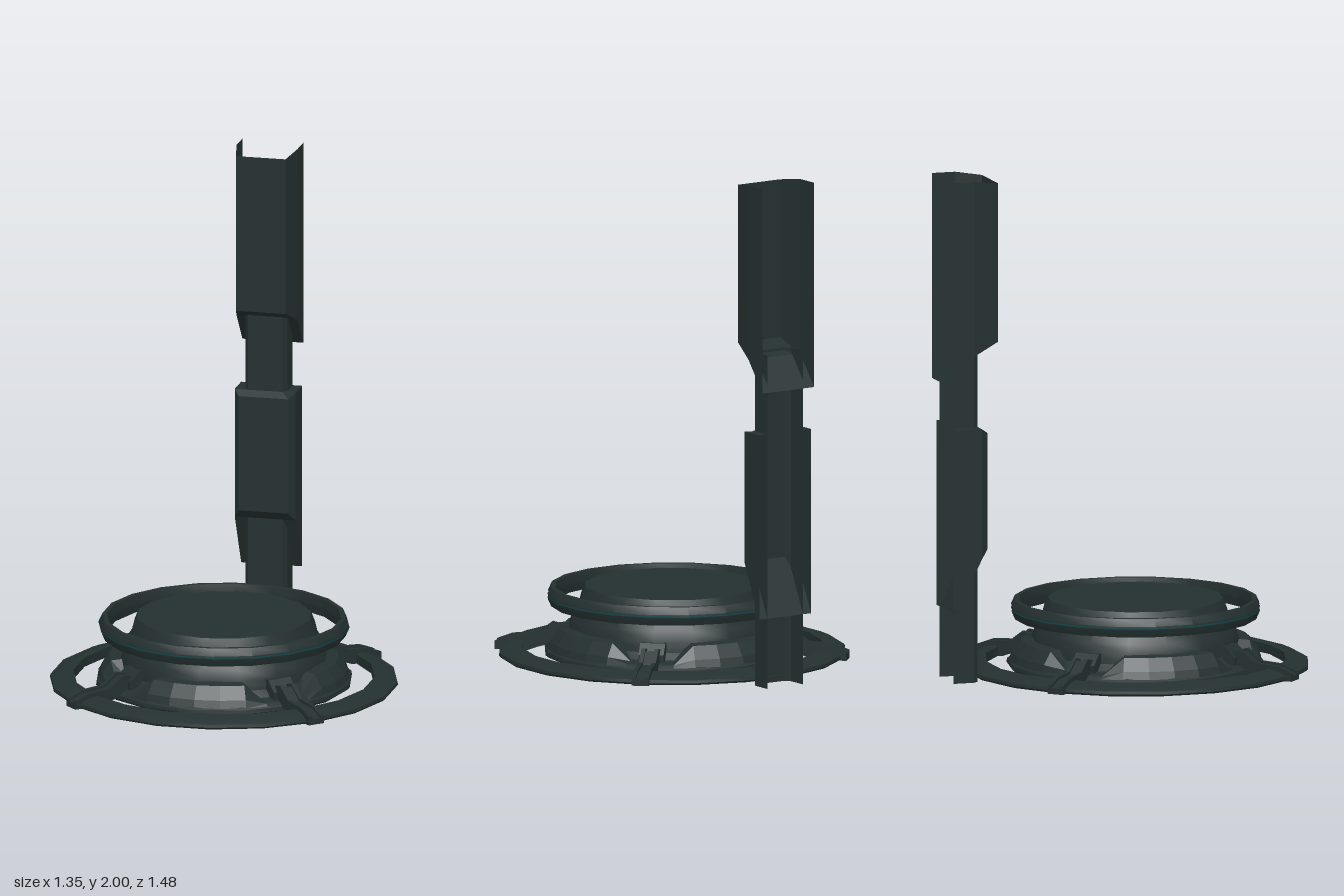
import * as THREE from 'three';
import { toCreasedNormals } from 'three/addons/utils/BufferGeometryUtils.js';

const darkMetal = new THREE.MeshStandardMaterial({ color: 0x243030, side: THREE.DoubleSide });
darkMetal.name = 'dark metal';
const tealGlow = new THREE.MeshStandardMaterial({ color: 0x12474c, side: THREE.DoubleSide });
tealGlow.name = 'teal strip';

function add(parent, name, geometry, material = darkMetal) {
  const mesh = new THREE.Mesh(geometry, material);
  mesh.name = name;
  parent.add(mesh);
  return mesh;
}

// Faceted skin across rows of [x, y, z] points
function loft(rows) {
  const n = rows[0].length, index = [];
  for (let r = 0; r < rows.length - 1; r++) {
    for (let i = 0; i < n - 1; i++) {
      const a = r * n + i, b = a + 1, c = a + n, d = c + 1;
      index.push(a, b, d, a, d, c);
    }
  }
  const g = new THREE.BufferGeometry();
  g.setAttribute('position', new THREE.Float32BufferAttribute(rows.flat(2), 3));
  g.setIndex(index);
  const flat = g.toNonIndexed();
  flat.computeVertexNormals();
  return flat;
}

function lathe(points, sides, start = 0) {
  const profile = points.map(([r, y]) => new THREE.Vector2(r, y));
  return toCreasedNormals(new THREE.LatheGeometry(profile, sides, start), 0.45);
}

// Straight-line interpolation of y along z through [z, y] points, z falling
function heightAt(points, z) {
  for (let i = 0; i < points.length - 1; i++) {
    const [z0, y0] = points[i], [z1, y1] = points[i + 1];
    if (z >= z1 || i === points.length - 2) return y0 + (y1 - y0) * (z - z0) / (z1 - z0);
  }
}

// Half section [x, z] from back to front, mirrored into a U open at the back
const fullSection = half => [
  ...half.map(([x, z]) => [-x, z]),
  ...half.slice().reverse(),
];
const rowAt = (section, line) => section.map(([x, z]) => [x, heightAt(line, z), z]);

function channel(parent, name, half, top, bottom, capped) {
  const section = fullSection(half);
  add(parent, name, loft([rowAt(section, bottom), rowAt(section, top)]));
  if (!capped) return;
  // Sloping floor closing the lower end
  const floor = half.map(([x, z]) => {
    const y = heightAt(bottom, z);
    return [[x, y, z], [-x, y, z]];
  });
  add(parent, name + 'Floor', loft(floor));
}

function buildMast() {
  const mast = new THREE.Group();
  mast.name = 'mast';
  const postHalf = [[0.085, -0.72], [0.085, -0.635], [0.07, -0.615]];
  const sleeveHalf = [[0.123, -0.72], [0.123, -0.615], [0.1, -0.585]];
  const headHalf = [[0.123, -0.74], [0.123, -0.645], [0.1, -0.54]];

  channel(mast, 'post', postHalf, [[-0.6, 1.33], [-0.74, 1.33]], [[-0.6, 0], [-0.74, 0]], false);

  const sleeveTop = [[-0.585, 0.995], [-0.615, 1.015], [-0.72, 1.015]];
  channel(mast, 'lowerSleeve', sleeveHalf, sleeveTop,
    [[-0.585, 0.53], [-0.615, 0.495], [-0.72, 0.28]], true);
  // Lip between sleeve and post
  const lipInner = fullSection(postHalf).map(([x, z]) => [x, 1.015, z]);
  add(mast, 'sleeveLip', loft([rowAt(fullSection(sleeveHalf), sleeveTop), lipInner]));

  channel(mast, 'upperChannel', headHalf, [[-0.54, 1.985], [-0.645, 2], [-0.74, 2]],
    [[-0.54, 1.355], [-0.645, 1.305], [-0.74, 1.185]], true);
  return mast;
}

// Bar drawn as [radius, y] and given a width, pointing along +z
function bar(points, width) {
  const shape = new THREE.Shape(points.map(([r, y]) => new THREE.Vector2(r, y)));
  const g = new THREE.ExtrudeGeometry(shape, { depth: width, bevelEnabled: false });
  g.translate(0, 0, -width / 2);
  g.rotateY(-Math.PI / 2);
  return g;
}

function buildSpoke() {
  const spoke = new THREE.Group();
  spoke.name = 'spoke';
  const rail = lift => [
    [0.44, 0.05], [0.44, 0.1 + lift], [0.48, 0.11 + lift], [0.54, 0.065 + lift],
    [0.64, 0.058 + lift], [0.7, 0.035 + lift], [0.7, 0.012], [0.57, 0.012], [0.52, 0.03],
  ];
  add(spoke, 'spokeBed', bar(rail(0), 0.045));
  for (const side of [-1, 1]) {
    add(spoke, 'spokeRail', bar(rail(0.01), 0.016)).position.x = side * 0.026;
  }
  const foot = [[0.38, 0.06], [0.38, 0.13], [0.42, 0.13], [0.46, 0.09], [0.46, 0.05]];
  add(spoke, 'spokeFoot', bar(foot, 0.1));
  return spoke;
}

// Raised skirt plate that slopes down at both ends
function panelGeometry() {
  const rows = [];
  for (const deg of [-34, -24, -12, 0, 12, 24, 34]) {
    const a = deg * Math.PI / 180, f = Math.abs(deg) > 30 ? 0 : 1;
    const profile = [[0.495, 0.045], [0.485, 0.055 + 0.02 * f], [0.45, 0.06 + 0.065 * f], [0.39, 0.06 + 0.07 * f]];
    rows.push(profile.map(([r, y]) => [r * Math.sin(a), y, r * Math.cos(a)]));
  }
  return loft(rows);
}

function buildBase() {
  const base = new THREE.Group();
  base.name = 'base';
  base.position.z = 0.06;
  const half = Math.PI / 20, k = 1 / Math.cos(half);

  // Hollow drum with a flat top
  add(base, 'drum', lathe([
    [0.495, 0.015], [0.507, 0.025], [0.505, 0.04], [0.485, 0.055], [0.44, 0.065], [0.412, 0.09],
    [0.408, 0.13], [0.395, 0.17], [0.37, 0.21], [0.36, 0.25], [0.345, 0.288],
  ], 16));
  const top = new THREE.CircleGeometry(0.345, 16);
  top.rotateX(-Math.PI / 2);
  add(base, 'topPlate', top).position.y = 0.288;

  // Outer floor ring
  add(base, 'floorRing', lathe([
    [0.585, 0.012], [0.668, 0.012], [0.676, 0.02], [0.674, 0.032], [0.64, 0.047],
    [0.6, 0.055], [0.585, 0.05], [0.585, 0.012],
  ].map(([r, y]) => [r * k, y]), 20, half));

  // Floating hoop with a thin coloured line
  add(base, 'hoop', lathe([
    [0.455, 0.212], [0.472, 0.212], [0.485, 0.242], [0.485, 0.256], [0.472, 0.285],
    [0.455, 0.285], [0.448, 0.25], [0.455, 0.212],
  ].map(([r, y]) => [r * k, y]), 20, half));
  add(base, 'hoopStrip', lathe([[0.487 * k, 0.246], [0.487 * k, 0.252]], 20, half), tealGlow);

  const panel = panelGeometry();
  for (let i = 0; i < 4; i++) {
    add(base, 'skirtPanel', panel).rotation.y = i * Math.PI / 2;
    const spoke = buildSpoke();
    spoke.rotation.y = (i + 0.5) * Math.PI / 2;
    base.add(spoke);
  }
  return base;
}

export function createModel() {
  const model = new THREE.Group();
  model.name = 'platformWithMast';
  model.add(buildBase(), buildMast());
  return model;
}
